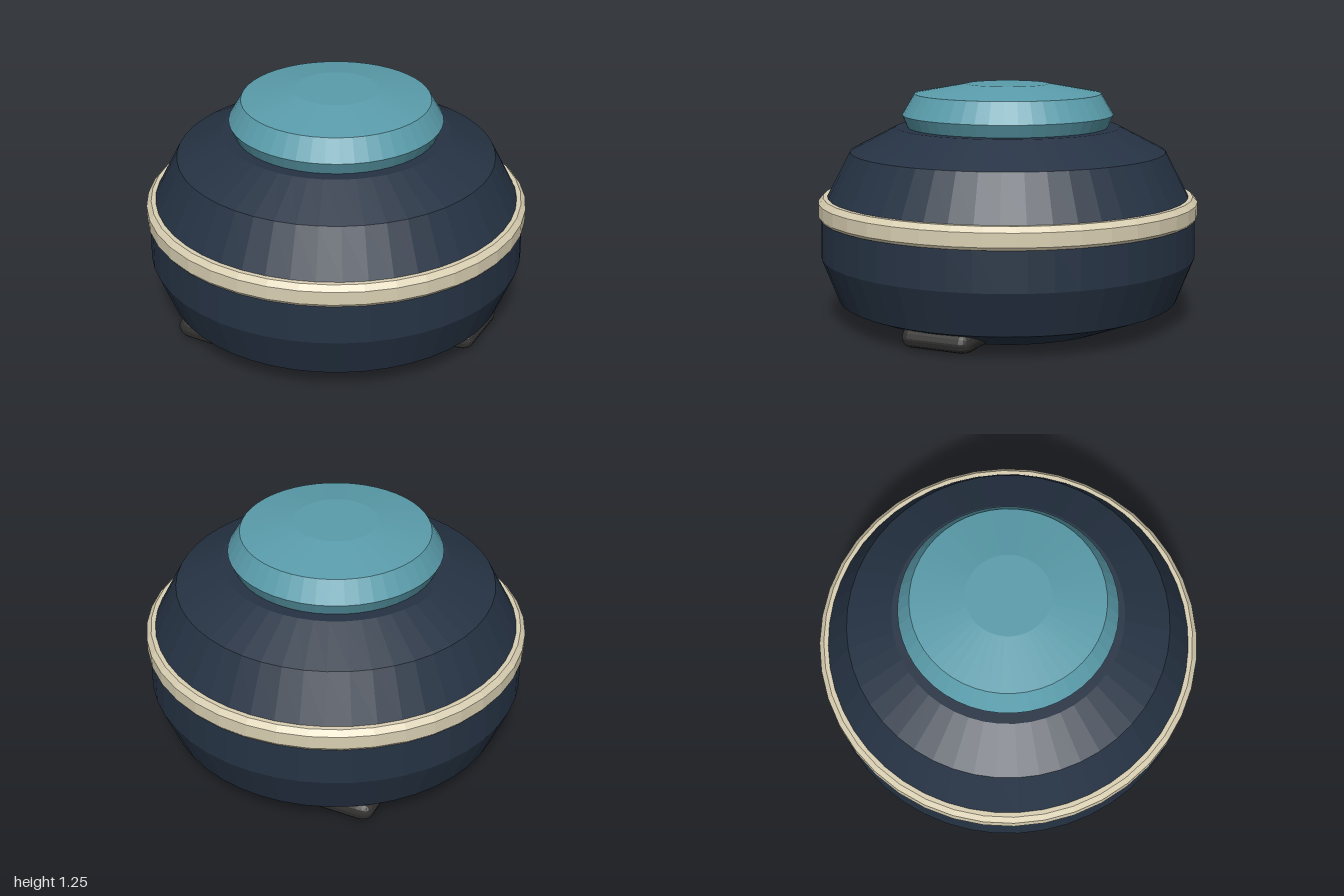
import * as THREE from 'three';
import { RoundedBoxGeometry } from 'three/addons/geometries/RoundedBoxGeometry.js';

const material = (name, color) => new THREE.MeshStandardMaterial({ name, color, flatShading: true });

// Turned part from [radius, height] pairs, listed bottom to top
function turned(name, profile, segments, mat) {
  const points = profile.map(([r, y]) => new THREE.Vector2(r, y));
  const mesh = new THREE.Mesh(new THREE.LatheGeometry(points, segments), mat);
  mesh.name = name;
  return mesh;
}

export function createModel() {
  const navy = material('navy', 0x263344);
  const cream = material('cream', 0xd9cfb2);
  const teal = material('teal', 0x5a9cab);
  const rubber = material('dark rubber', 0x333231);

  const model = new THREE.Group();
  model.name = 'roundDevice';

  // Main shell, closed at the bottom and top
  model.add(turned('body', [
    [0, 0], [0.6, 0], [0.9, 0.12], [0.99, 0.35], [0.985, 0.56],
    [0.955, 0.66], [0.83, 0.9], [0.59, 1.025], [0, 1.025],
  ], 48, navy));

  // Trim band around the waist
  model.add(turned('trimRing', [
    [0.95, 0.555], [0.99, 0.555], [1, 0.57], [1, 0.64], [0.975, 0.667], [0.945, 0.667],
  ], 40, cream));

  // Faceted knob on top
  model.add(turned('topKnob', [
    [0, 1.02], [0.525, 1.02], [0.555, 1.09], [0.49, 1.2], [0.215, 1.25], [0, 1.25],
  ], 48, teal));

  // Three pads spaced around the base, all facing the same way
  const padGeometry = new RoundedBoxGeometry(0.29, 0.11, 0.38, 2, 0.05);
  padGeometry.scale(1.5, 1, 1);
  for (let i = 0; i < 3; i++) {
    const angle = (i * Math.PI * 2) / 3;
    const foot = new THREE.Mesh(padGeometry, rubber);
    foot.name = `foot${i + 1}`;
    foot.position.set(Math.cos(angle) * 0.66, 0.065, Math.sin(angle) * 0.66);
    model.add(foot);
  }

  return model;
}
